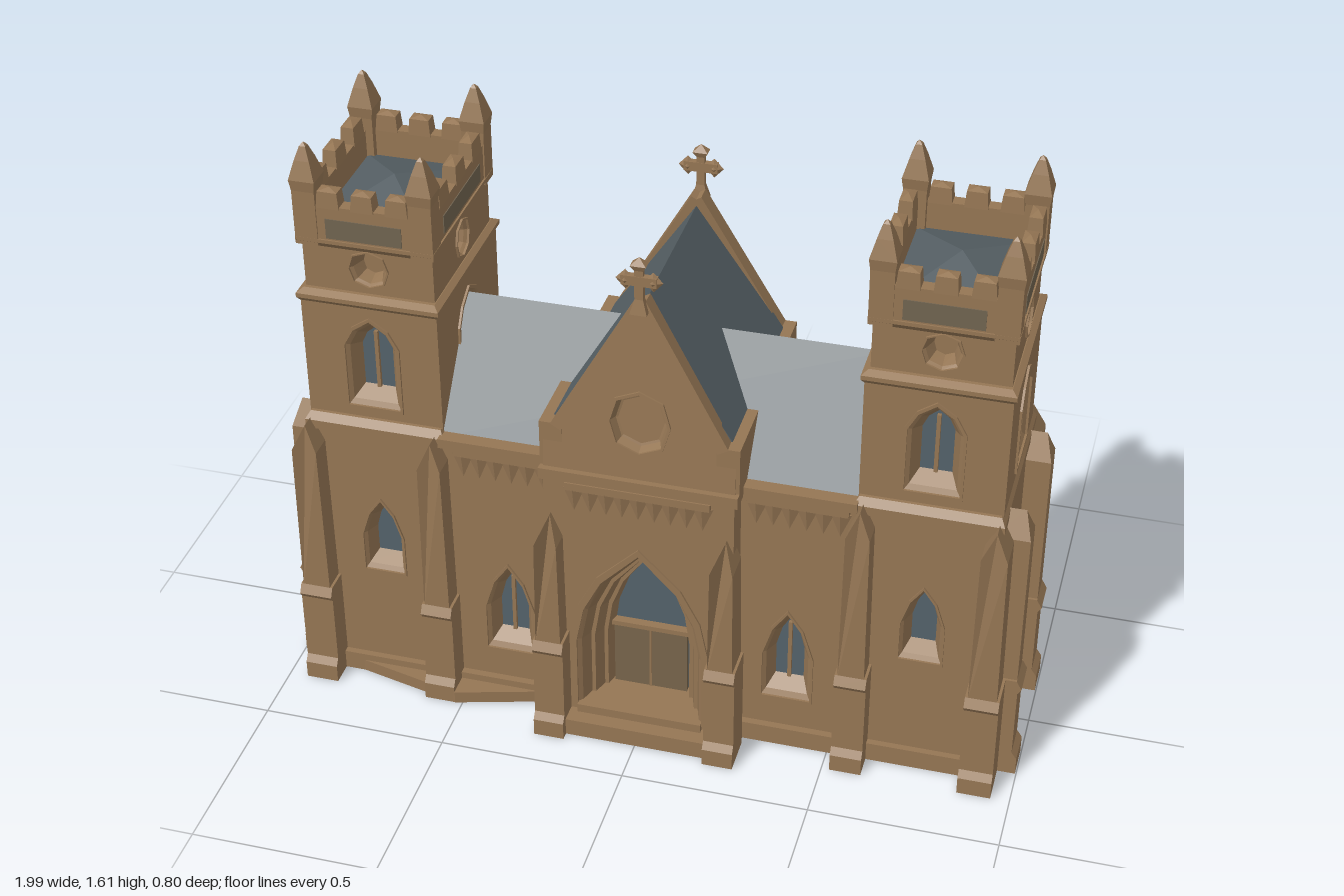
import * as THREE from 'three';

const mat = (name, color) => Object.assign(new THREE.MeshStandardMaterial({ color }), { name });
const stone = mat('stone', 0x957654), slate = mat('slate', 0x555f64), glass = mat('glass', 0x54626b);
const wood = mat('door wood', 0x78654b), stain = mat('weathered stone', 0x716450);

function add(parent, name, geo, material, x = 0, y = 0, z = 0) {
  const m = new THREE.Mesh(geo, material);
  m.name = name;
  m.position.set(x, y, z);
  parent.add(m);
  return m;
}
const block = (parent, name, material, x0, x1, y0, y1, z0, z1) =>
  add(parent, name, new THREE.BoxGeometry(x1 - x0, y1 - y0, z1 - z0), material, (x0 + x1) / 2, (y0 + y1) / 2, (z0 + z1) / 2);
const group = (parent, name, x = 0, y = 0, z = 0, ry = 0) => {
  const g = new THREE.Group();
  g.name = name;
  g.position.set(x, y, z);
  g.rotation.y = ry;
  parent.add(g);
  return g;
};
const toShape = pts => new THREE.Shape(pts.map(p => new THREE.Vector2(p[0], p[1])));
const extrude = (shape, depth) => new THREE.ExtrudeGeometry(shape, { depth, bevelEnabled: false });
const flat = geo => {
  const g = geo.toNonIndexed();
  g.computeVertexNormals();
  return g;
};
// four-sided turned piece, profile from bottom to top; radii are half-widths
const squareLathe = profile => flat(new THREE.LatheGeometry(
  profile.map(([r, y]) => new THREE.Vector2(r * Math.SQRT2, y)), 4, Math.PI / 4));

// outlines in unit width and height, counter-clockwise
const outlines = {
  lancet: [[-.5, 0], [.5, 0], [.5, .5], [.3, .8], [0, 1], [-.3, .8], [-.5, .5]],
  arch: [[-.5, 0], [.5, 0], [.5, .7], [.32, .88], [0, 1], [-.32, .88], [-.5, .7]],
  portal: [[-.5, 0], [.5, 0], [.5, .42], [.44, .62], [.3, .8], [0, 1], [-.3, .8], [-.44, .62], [-.5, .42]],
  diamond: [[0, 0], [.38, .14], [.5, .5], [.38, .86], [0, 1], [-.38, .86], [-.5, .5], [-.38, .14]],
};
const splay = [[1, 0], [.86, -.008], [.58, -.045]];

function ringOf(o, s) {
  const ky = o.ky ?? .75, cy = o.kind === 'portal' ? .03 : .5, sy = 1 - (1 - s) * ky;
  return outlines[o.kind].map(([x, y]) => [o.x + x * o.w * s, o.y + (cy + (y - cy) * sy) * o.h]);
}

// stepped or splayed reveal, pane and surrounding moulding for one opening
function addOpening(g, o) {
  const rings = o.rings ?? splay, pos = [];
  for (let i = 0; i + 1 < rings.length; i++) {
    const A = ringOf(o, rings[i][0]), B = ringOf(o, rings[i + 1][0]);
    const za = rings[i][1], zb = rings[i + 1][1];
    A.forEach((p, j) => {
      const k = (j + 1) % A.length;
      const a = [...p, za], b = [...A[k], za], c = [...B[k], zb], d = [...B[j], zb];
      pos.push(...a, ...b, ...c, ...a, ...c, ...d);
    });
  }
  const geo = new THREE.BufferGeometry();
  geo.setAttribute('position', new THREE.Float32BufferAttribute(pos, 3));
  geo.computeVertexNormals();
  add(g, 'reveal', geo, stone);
  const [s, z] = rings[rings.length - 1];
  add(g, 'pane', new THREE.ShapeGeometry(toShape(ringOf(o, s))), o.pane ?? glass, 0, 0, z);
  if (o.bar) block(g, 'mullion', stone, o.x - .005, o.x + .005, o.y + o.h * .15, o.y + o.h * .8, z, z + .01);
  const hood = toShape(ringOf(o, 1.1));
  hood.holes.push(new THREE.Path(ringOf(o, 1).map(p => new THREE.Vector2(...p))));
  add(g, 'moulding', extrude(hood, .006), stone);
}

// pierced wall whose outer face lies on local z = 0
function panel(g, outline, openings = [], t = .04) {
  const shape = toShape(outline);
  openings.forEach(o => shape.holes.push(new THREE.Path(ringOf(o, 1).map(p => new THREE.Vector2(...p)))));
  add(g, 'wall', extrude(shape, t), stone, 0, 0, -t);
  openings.forEach(o => addOpening(g, o));
}
const rect = (x0, x1, y0, y1) => [[x0, y0], [x1, y0], [x1, y1], [x0, y1]];

// four walls of one tower storey
function storey(parent, w, d, y0, y1, front, side) {
  for (let i = 0; i < 4; i++) {
    const across = i % 2 ? d : w, out = (i % 2 ? w : d) / 2, a = i * Math.PI / 2;
    const g = group(parent, 'towerWall', Math.sin(a) * out, 0, Math.cos(a) * out, a);
    panel(g, rect(-across / 2, across / 2, y0, y1), i % 2 ? side : front);
  }
}

// stepped buttress projecting along local +z; pull sets back the gable's peak
function buttress(parent, x, z, ry, h, w, r, pull) {
  const g = group(parent, 'buttress', x, 0, z, ry);
  const lower = toShape([[-.03, 0], [r + .014, 0], [r + .014, .05], [r, .07], [r, .27], [r + .01, .285], [r - .004, .31], [-.03, .31]]);
  const low = extrude(lower, w + .014).translate(0, 0, -(w + .014) / 2).rotateY(-Math.PI / 2);
  add(g, 'buttressFoot', low, stone);
  const gable = toShape([[-w / 2, .3], [w / 2, .3], [w / 2 - .004, h - .07], [0, h], [-w / 2 + .004, h - .07]]);
  const shaft = extrude(gable, r + .026).translate(0, 0, -.03), p = shaft.attributes.position;
  for (let i = 0; i < p.count; i++)
    if (p.getZ(i) > 0 && p.getY(i) > h - .02) p.setZ(i, p.getZ(i) - pull);
  shaft.computeVertexNormals();
  add(g, 'buttressShaft', shaft, stone);
}

// row of hanging pointed corbels
function corbels(parent, x0, x1, z) {
  const n = Math.round((x1 - x0) / .043), step = (x1 - x0) / n;
  for (let i = 0; i < n; i++)
    add(parent, 'corbel', flat(new THREE.ConeGeometry(.028, .07, 4).rotateX(Math.PI)).scale(1, 1, .45), stone, x0 + (i + .5) * step, .745, z);
  block(parent, 'corbelBand', stone, x0, x1, .778, .8, z - .02, z + .012);
}

function tower(parent, s) {
  const t = group(parent, 'tower', s * .728);
  block(t, 'plinth', stone, -.2, .2, 0, .055, -.268, .268);
  const low = { x: 0, y: .35, w: .11, h: .23, kind: 'lancet' };
  storey(t, .37, .5, .03, .81, [low], [{ x: 0, y: .34, w: .16, h: .22, kind: 'arch' }]);
  add(t, 'stringCourse', squareLathe([[0, .79], [.5, .79], [.5, .815], [.47, .835], [0, .835]]).scale(.38, 1, .52), stone);
  storey(t, .364, .47, .82, 1.17,
    [{ x: 0, y: .87, w: .14, h: .26, kind: 'arch', bar: true }],
    [{ x: 0, y: .87, w: .16, h: .25, kind: 'arch', bar: true }]);
  add(t, 'cornice', squareLathe([[0, 1.16], [.47, 1.16], [.5, 1.178], [.5, 1.19], [.46, 1.2], [0, 1.2]]).scale(.38, 1, .49), stone);
  const eye = w => ({ x: 0, y: 1.22, w, h: .1, kind: 'diamond', pane: stone });
  storey(t, .345, .43, 1.18, 1.34, [eye(.1)], [eye(.09)]);
  // parapet, battlements and corner pinnacles
  add(t, 'parapetLedge', squareLathe([[0, 1.32], [.46, 1.32], [.5, 1.34], [.5, 1.35], [0, 1.35]]).scale(.366, 1, .465), stone);
  add(t, 'towerRoof', squareLathe([[.46, 1.36], [0, 1.43]]).scale(.36, 1, .46), slate);
  for (const k of [1, -1]) {
    block(t, 'parapet', stone, -.175, .175, 1.34, 1.445, k * .21 - .018, k * .21 + .018);
    block(t, 'parapet', stone, k * .16 - .018, k * .16 + .018, 1.34, 1.445, -.22, .22);
    block(t, 'weatherPatch', stain, -.1, .1, 1.355, 1.41, k * .2285 - .002, k * .2285 + .002);
    block(t, 'weatherPatch', stain, k * .1785 - .002, k * .1785 + .002, 1.36, 1.41, -.14, .14);
    for (const m of [-1, 0, 1]) {
      add(t, 'merlon', squareLathe([[.03, 0], [.026, .045], [0, .052]]).scale(1, 1, .7), stone, m * .09, 1.44, k * .21);
      add(t, 'merlon', squareLathe([[.036, 0], [.031, .05], [0, .058]]).scale(.55, 1, 1), stone, k * .16, 1.44, m * .125);
    }
    for (const j of [1, -1])
      add(t, 'pinnacle', squareLathe([[.03, 0], [.03, .15], [.034, .18], [.02, .23], [.008, .265], [0, .275]]),
        stone, k * .152, 1.33, j * .202);
  }
  // corner buttresses
  for (const f of [1, -1]) {
    const ry = f > 0 ? 0 : Math.PI;
    buttress(t, s * .177, f * .25, ry, .82, .075, .07, .02);
    buttress(t, -s * .165, f * .25, ry, .82, .07, .07, .02);
    buttress(t, s * .185, f * .175, s * Math.PI / 2, .82, .08, .07, .02);
  }
}

// one long side: nave bays, porch, gable and cross
function facade(parent, ry) {
  const f = group(parent, 'facade', 0, 0, 0, ry);
  // gable leans back slightly
  const gable = group(f, 'gable', 0, 0, .371);
  gable.rotation.x = -.065;
  panel(gable, [[-.25, .82], [.25, .82], [.25, .95], [.2, .97], [0, 1.325], [-.2, .97], [-.25, .95]], [{
    x: 0, y: .91, w: .15, h: .17, kind: 'diamond', ky: 1, pane: stone, rings: [[1, 0], [.88, -.02], [.8, -.022]],
  }]);
  for (const s of [1, -1]) {
    const bay = group(f, 'naveBay', s * .39, 0, .25);
    panel(bay, rect(-.16, .16, 0, .81), [{ x: -s * .01, y: .15, w: .13, h: .28, kind: 'lancet', bar: true }]);
    block(bay, 'bayPlinth', stone, -.16, .16, 0, .055, -.03, .02);
    corbels(bay, -.12, .14, .008);
    block(bay, 'eaves', stone, -.16, .16, .798, .825, -.06, .022);
    block(f, 'porchSide', stone, s * .235 - .015, s * .235 + .015, 0, .81, .18, .32);
    block(f, 'shoulder', stone, s * .23 - .03, s * .23 + .03, .8, .96, .1, .312);
    buttress(f, s * .232, .32, 0, .69, .068, .067, .05);
    const coping = block(gable, 'coping', stone, -.016, .016, -.22, .22, -.022, .022);
    coping.position.set(s * .108, 1.143, -.018);
    coping.rotation.z = s * .515;
  }
  const porch = group(f, 'porch', 0, 0, .323);
  panel(porch, rect(-.25, .25, 0, .81), [{
    x: 0, y: .065, w: .34, h: .53, kind: 'portal', ky: .4,
    rings: [[1, 0], [.94, -.01], [.86, -.05], [.8, -.05], [.72, -.09], [.66, -.09], [.6, -.13]],
  }]);
  block(porch, 'door', wood, -.1, .1, .07, .275, -.13, -.112);
  block(porch, 'doorLintel', stone, -.105, .105, .268, .282, -.13, -.106);
  block(porch, 'doorSeam', stone, -.003, .003, .07, .27, -.114, -.109);
  block(porch, 'step', stone, -.2, .2, 0, .05, -.03, .055);
  block(porch, 'threshold', stone, -.17, .17, 0, .075, -.14, .015);
  corbels(porch, -.19, .19, .002);
  block(porch, 'porchCornice', stone, -.26, .26, .798, .83, -.06, .01);
  // cross finial
  const c = group(f, 'crossFinial', 0, 1.4, .293);
  add(c, 'crossStem', squareLathe([[0, -.09], [.022, -.09], [.011, -.05], [.011, .03], [.02, .045], [0, .065]]).scale(1, 1, .7), stone);
  block(c, 'crossArms', stone, -.045, .045, -.012, .014, -.009, .009);
  for (const s of [1, -1])
    add(c, 'crossTip', flat(new THREE.OctahedronGeometry(.025)).scale(1, 1.1, .5), stone, s * .035, 0, 0);
}

// low stone apron on the ground, outline in x and z
function apron(parent, pts, h) {
  add(parent, 'groundApron', extrude(toShape(pts.map(([x, z]) => [x, -z])), h).rotateX(-Math.PI / 2), stone);
}

export function createModel() {
  const model = new THREE.Group();
  model.name = 'church';
  block(model, 'floor', stone, -.56, .56, 0, .05, -.25, .25);
  block(model, 'porchFloor', stone, -.25, .25, 0, .05, -.32, .32);
  for (const s of [1, -1]) tower(model, s);
  facade(model, 0);
  facade(model, Math.PI);
  // crossing slate roofs
  const nave = extrude(toShape([[-.245, .81], [.245, .81], [0, 1.11]]), 1.12).translate(0, 0, -.56).rotateY(Math.PI / 2);
  add(model, 'naveRoof', nave, slate);
  const cross = extrude(toShape([[-.235, .81], [.235, .81], [.235, .955], [0, 1.31], [-.235, .955]]), .55).translate(0, 0, -.275);
  add(model, 'transeptRoof', cross, slate);
  apron(model, [[-.84, .26], [-.52, .335], [-.26, .26]], .035);
  apron(model, [[.26, -.385], [.54, -.26], [.26, -.26]], .035);
  return model;
}
